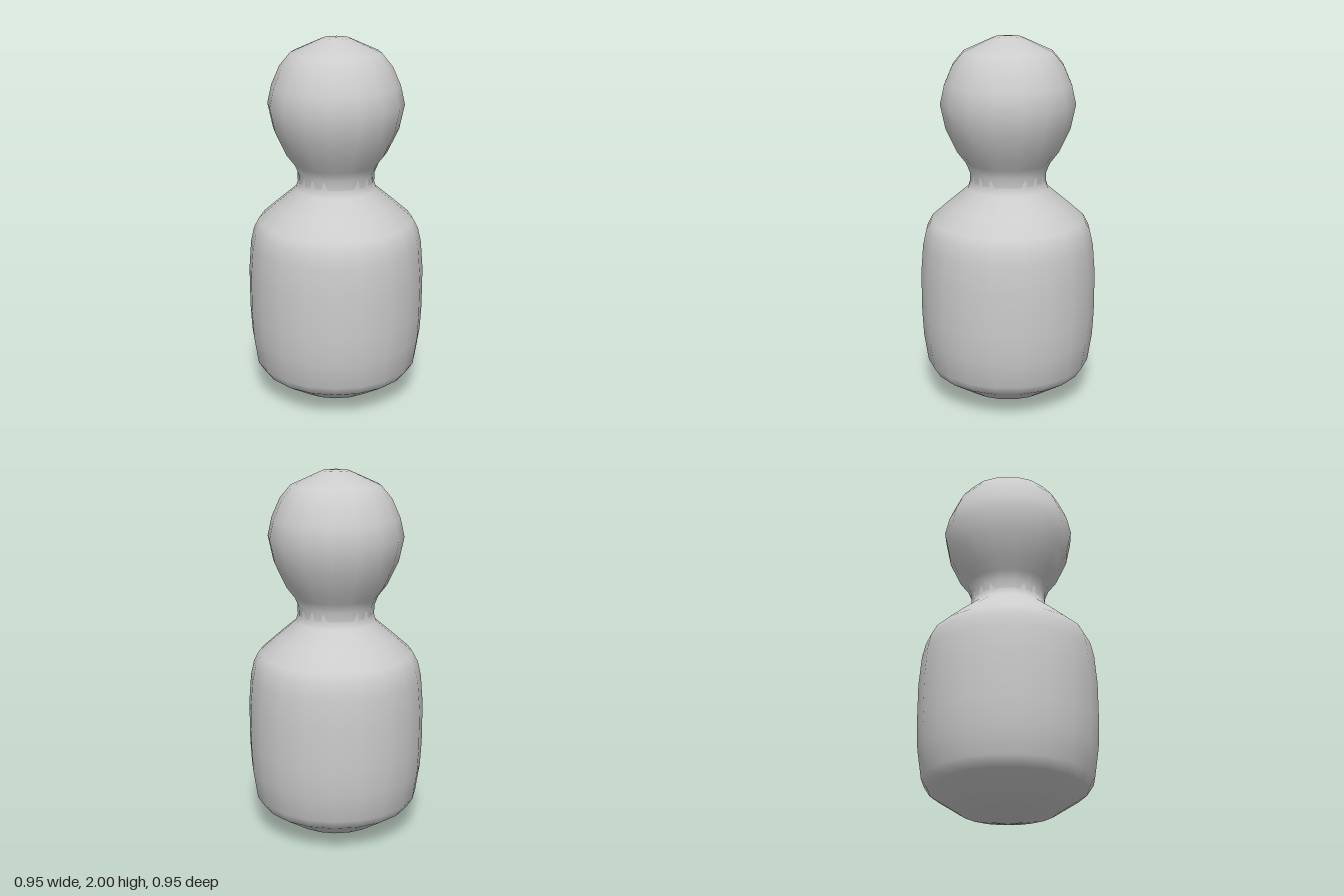
import * as THREE from 'three';

const material = new THREE.MeshStandardMaterial({ color: 0xcccccc });

// Turned part whose flat facets face the four sides; radii are across the flats
function turned(name, profile, sides) {
  const half = Math.PI / sides;
  const points = profile.map(([r, y]) => new THREE.Vector2(r / Math.cos(half), y));
  const mesh = new THREE.Mesh(new THREE.LatheGeometry(points, sides, half, Math.PI * 2), material);
  mesh.name = name;
  return mesh;
}

export function createModel() {
  const model = new THREE.Group();
  model.name = 'pegFigure';

  // Barrel body with rounded base, sloping shoulders and the lower neck
  model.add(turned('body', [
    [0, 0], [0.08, 0.004], [0.25, 0.045], [0.41, 0.15], [0.445, 0.205],
    [0.468, 0.36], [0.475, 0.5], [0.475, 0.72], [0.462, 0.88], [0.444, 0.96],
    [0.415, 1.015], [0.32, 1.1], [0.215, 1.19], [0.203, 1.23], [0.203, 1.27],
  ], 20));

  // Ball head tapering down into the upper neck
  model.add(turned('head', [
    [0.203, 1.23], [0.205, 1.28], [0.225, 1.33], [0.27, 1.39], [0.33, 1.52],
    [0.357, 1.65], [0.335, 1.75], [0.292, 1.85], [0.235, 1.92], [0.07, 1.996], [0, 2],
  ], 16));

  return model;
}
